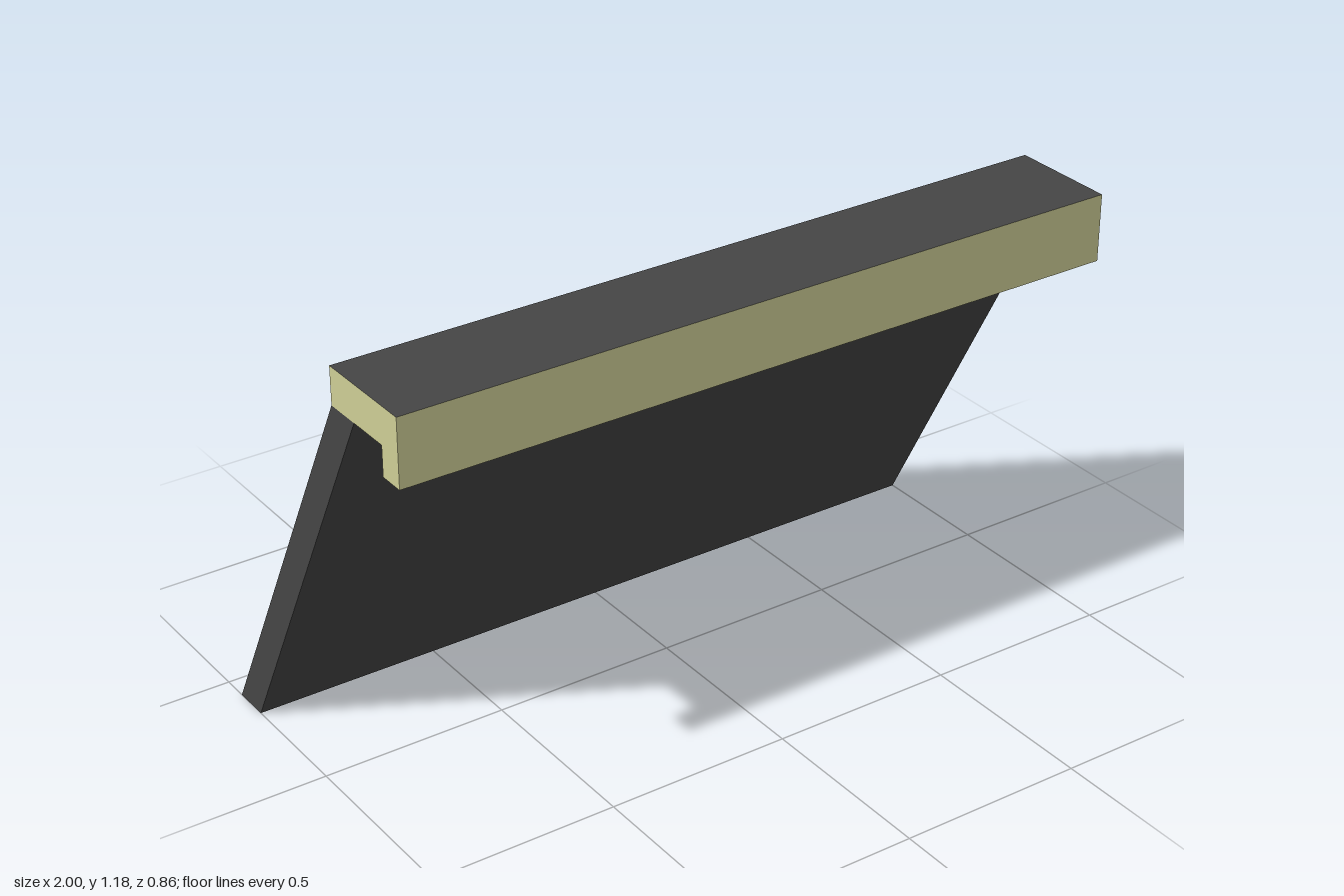
import * as THREE from 'three';

const dark = new THREE.MeshStandardMaterial({ color: 0x464646 });
dark.name = 'charcoal';
const pale = new THREE.MeshStandardMaterial({ color: 0xcfce96 });
pale.name = 'paleYellow';

const HALF = 1; // half of the length along x

// Side profile of the hooked panel as [z, y], each with the name and colour of the face to the next point
const profile = [
  [0.43, 1.0, 'lipFront', pale],
  [0.43, 1.18, 'capTop', dark],
  [0.14, 1.18, 'capBack', dark],
  [0.14, 1.08, 'panelBack', pale],
  [-0.43, 0, 'panelFoot', pale],
  [-0.33, 0, 'panelFront', dark],
  [0.24, 1.08, 'capUnderside', pale],
  [0.36, 1.08, 'lipInside', dark],
  [0.36, 1.0, 'lipBottom', pale],
];

// Long face spanning the full length between two profile points
function longFace([az, ay, name, material], [bz, by]) {
  const geometry = new THREE.BufferGeometry();
  geometry.setAttribute('position', new THREE.Float32BufferAttribute([
    -HALF, ay, az, HALF, ay, az, HALF, by, bz, -HALF, by, bz,
  ], 3));
  geometry.setIndex([0, 1, 2, 0, 2, 3]);
  geometry.computeVertexNormals();
  const mesh = new THREE.Mesh(geometry, material);
  mesh.name = name;
  return mesh;
}

// Flat end face on the side given by the sign
function endFace(name, points, side, material) {
  const shape = new THREE.Shape(points.map(([z, y]) => new THREE.Vector2(-side * z, y)));
  const geometry = new THREE.ShapeGeometry(shape);
  geometry.rotateY(side * Math.PI / 2);
  geometry.translate(side * HALF, 0, 0);
  const mesh = new THREE.Mesh(geometry, material);
  mesh.name = name;
  return mesh;
}

export function createModel() {
  const group = new THREE.Group();
  group.name = 'hookedPanel';

  profile.forEach((p, i) => group.add(longFace(p, profile[(i + 1) % profile.length])));

  // Ends, split into hooked cap and sloping panel
  const cap = profile.filter(([, y]) => y > 0.5);
  const panel = profile.slice(3, 7);
  group.add(
    endFace('capEndLeft', cap, 1, dark),
    endFace('panelEndLeft', panel, 1, dark),
    endFace('capEndRight', cap, -1, pale),
    endFace('panelEndRight', panel, -1, dark),
  );
  return group;
}
